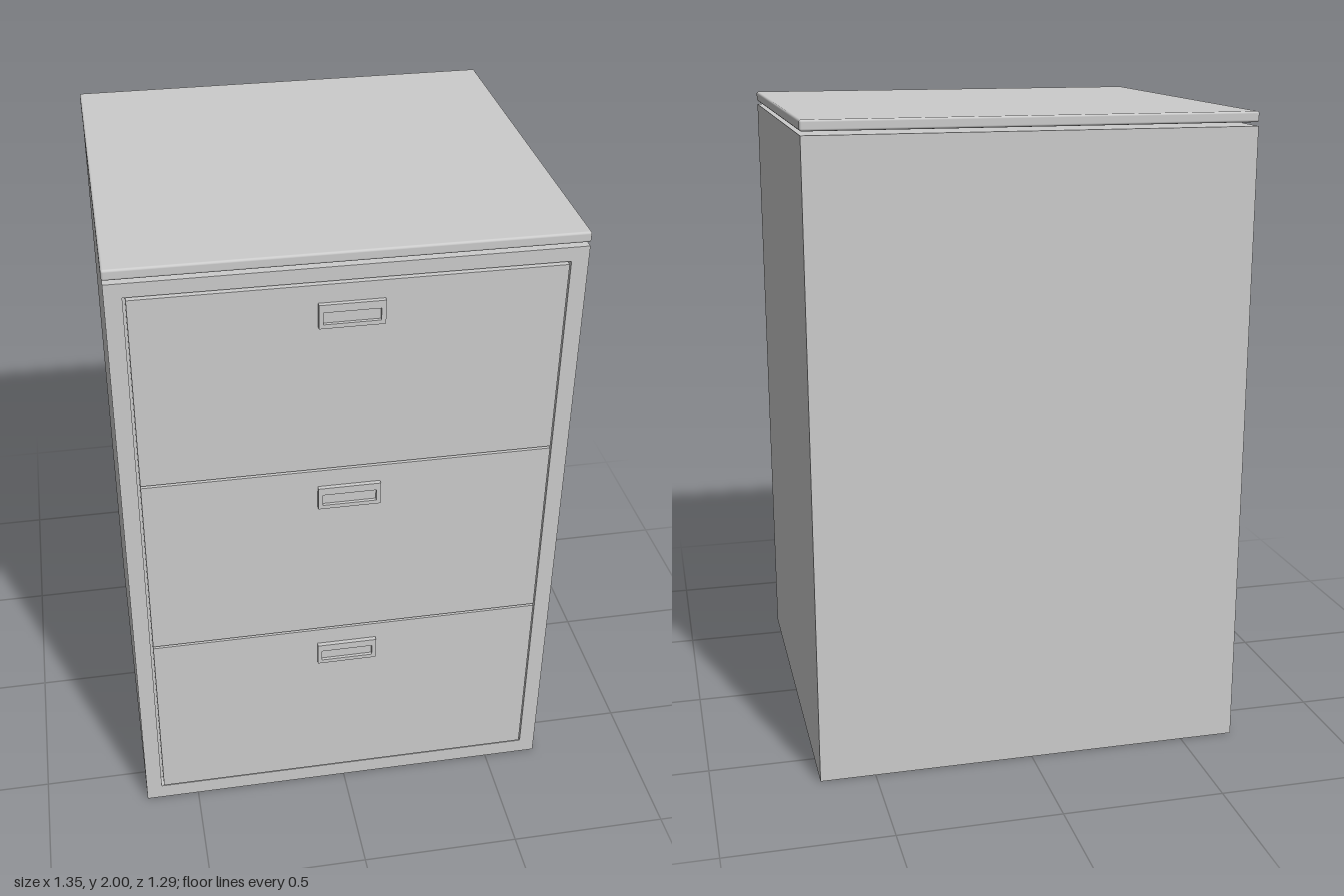
import * as THREE from 'three';
import { RoundedBoxGeometry } from 'three/addons/geometries/RoundedBoxGeometry.js';

const material = new THREE.MeshStandardMaterial({ color: 0xcccccc });
const BACK = -0.646, FRONT = 0.622, RECESS = 0.04;

function part(name, geometry, x, y, z) {
  const mesh = new THREE.Mesh(geometry, material);
  mesh.name = name;
  mesh.position.set(x, y, z);
  return mesh;
}

// Rectangular ring extruded along +z; bounds are [x half-width, bottom, top]
function ringGeometry([ow, ob, ot], [iw, ib, it], depth) {
  const shape = new THREE.Shape();
  shape.moveTo(-ow, ob).lineTo(ow, ob).lineTo(ow, ot).lineTo(-ow, ot).closePath();
  const hole = new THREE.Path();
  hole.moveTo(-iw, ib).lineTo(-iw, it).lineTo(iw, it).lineTo(iw, ib).closePath();
  shape.holes.push(hole);
  return new THREE.ExtrudeGeometry(shape, { depth, bevelEnabled: false });
}

// Drawer front with a framed recessed pull
function createDrawer() {
  const drawer = new THREE.Group();
  drawer.name = 'drawer';
  const panelFront = 0.632;
  const panelDepth = panelFront - FRONT + RECESS;
  drawer.add(part('drawerFront', new THREE.BoxGeometry(1.226, 0.61, panelDepth), 0, 0, panelFront - panelDepth / 2));
  drawer.add(part('handleFrame', ringGeometry([0.094, -0.037, 0.037], [0.081, -0.024, 0.013], 0.014), 0, 0.212, panelFront));
  drawer.add(part('handlePocket', new THREE.BoxGeometry(0.162, 0.037, 0.004), 0, 0.2065, panelFront + 0.002));
  return drawer;
}

export function createModel() {
  const cabinet = new THREE.Group();
  cabinet.name = 'drawerCabinet';

  // Body with a shallow front opening
  const bodyDepth = FRONT - RECESS - BACK;
  cabinet.add(part('body', new THREE.BoxGeometry(1.342, 1.957, bodyDepth), 0, 1.957 / 2, BACK + bodyDepth / 2));
  cabinet.add(part('frontFrame', ringGeometry([0.671, 0, 1.957], [0.621, 0.052, 1.914], RECESS), 0, 0, FRONT - RECESS));

  // Top slab, separated from the body by a thin shadow gap
  cabinet.add(part('top', new RoundedBoxGeometry(1.346, 0.032, FRONT - BACK + 0.002, 3, 0.007), 0, 1.984, (FRONT + BACK) / 2));

  // Three stacked drawers
  for (let i = 0; i < 3; i++) {
    const drawer = createDrawer();
    drawer.position.y = 0.37 + i * 0.6175;
    cabinet.add(drawer);
  }
  return cabinet;
}
